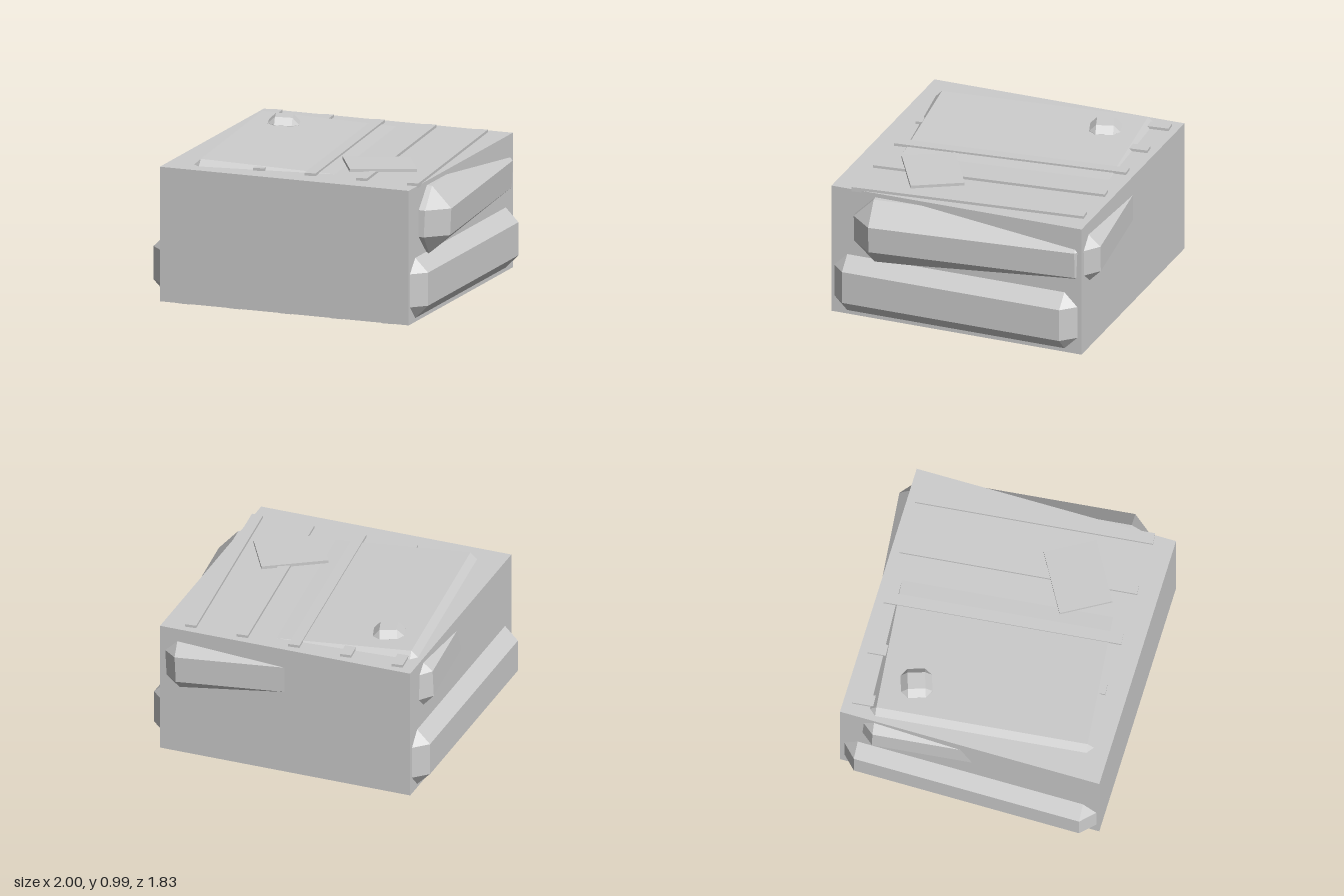
import * as THREE from 'three';
import { ConvexGeometry } from 'three/addons/geometries/ConvexGeometry.js';

// Box with every edge cut off by c; h holds the half sizes
function chamferBox(h, c) {
  const points = [];
  for (const sx of [-1, 1]) for (const sy of [-1, 1]) for (const sz of [-1, 1]) {
    for (let face = 0; face < 3; face++) {
      const [x, y, z] = h.map((v, axis) => (axis === face ? v : v - c));
      points.push(new THREE.Vector3(sx * x, sy * y, sz * z));
    }
  }
  return new ConvexGeometry(points);
}

export function createModel() {
  const model = new THREE.Group();
  model.name = 'crate';
  const grey = new THREE.MeshStandardMaterial({ color: 0xcccccc });
  grey.name = 'plain grey';
  grey.flatShading = true;

  function add(name, geometry, position, rotation = [0, 0, 0]) {
    const mesh = new THREE.Mesh(geometry, grey);
    mesh.name = name;
    mesh.position.set(...position);
    mesh.rotation.set(...rotation);
    model.add(mesh);
    return mesh;
  }

  // Main block
  add('body', new THREE.BoxGeometry(1.745, 0.895, 1.75), [-0.0375, 0.4575, 0.035]);

  // Chamfered slabs running through the body; the upper one is twisted and breaks through the top
  add('lowerSlab', chamferBox([0.9625, 0.2, 0.85], 0.09), [-0.0375, 0.235, 0.04]);
  add('upperSlab', chamferBox([0.918, 0.226, 0.832], 0.137), [0.01, 0.685, -0.008], [0, 0.105, -0.046]);

  // Slats: skewed on the top, straight underneath
  for (let i = -2; i <= 2; i++) {
    add('topSlat', new THREE.BoxGeometry(0.075, 0.03, 1.565), [0.004 + i * 0.36, 0.908, -0.008], [0, 0.103, 0]);
    add('bottomSlat', new THREE.BoxGeometry(0.075, 0.02, 1.68), [-0.0375 + i * 0.3575, 0.01, 0.04]);
  }

  // Loose plate and knob on the top
  add('plate', new THREE.BoxGeometry(0.44, 0.02, 0.352), [0.41, 0.925, 0.375], [0, 0.525, -0.03]);
  add('knob', chamferBox([0.102, 0.1, 0.102], 0.045), [-0.595, 0.883, -0.417], [0, 0.32, -0.046]);

  return model;
}
